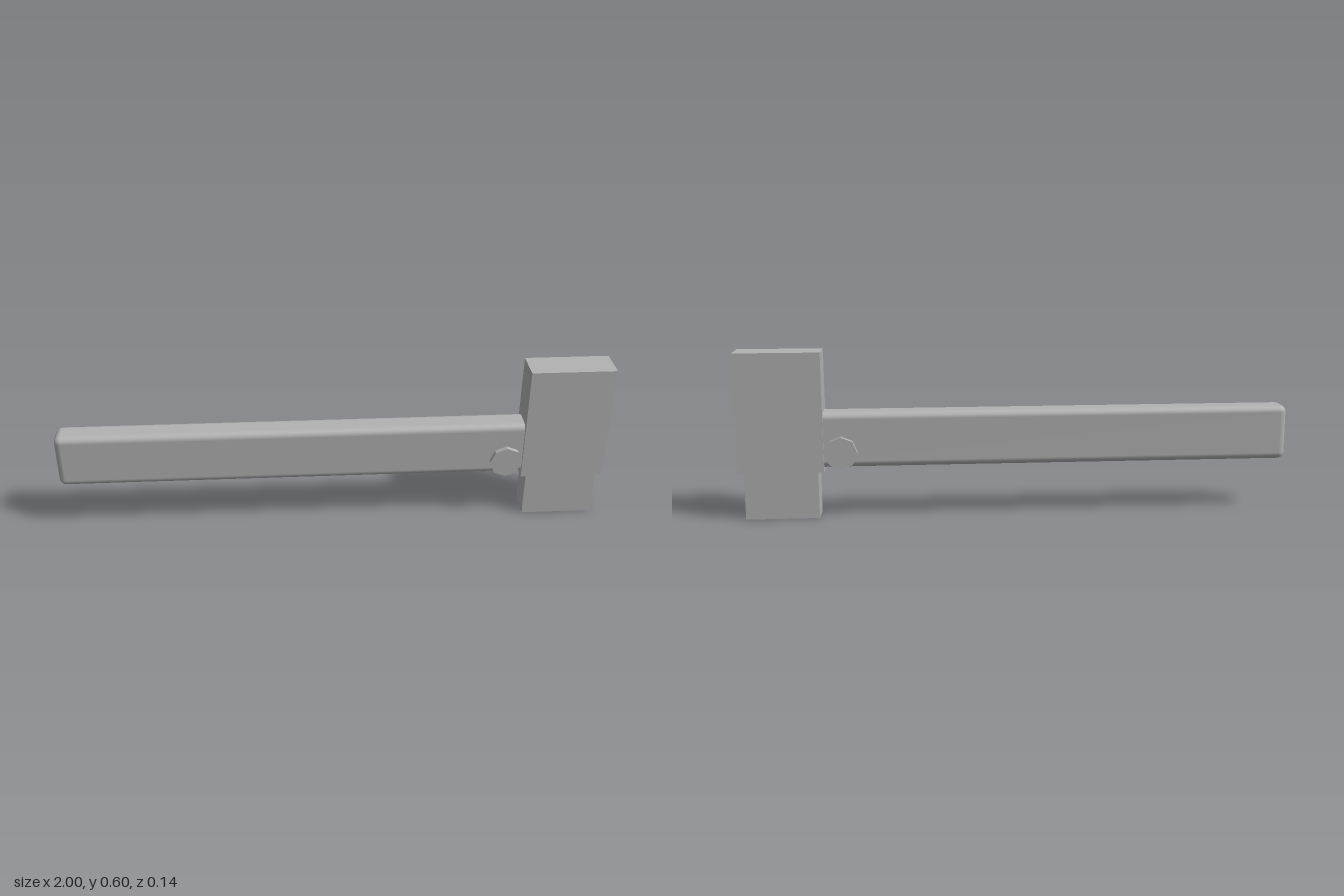
import * as THREE from 'three';
import { RoundedBoxGeometry } from 'three/addons/geometries/RoundedBoxGeometry.js';

export function createModel() {
  const group = new THREE.Group();
  const grey = new THREE.MeshStandardMaterial({ color: 0xb2b2b2 });
  grey.name = 'grey';

  const add = (name, geometry, x, y) => {
    const mesh = new THREE.Mesh(geometry, grey);
    mesh.name = name;
    mesh.position.set(x, y, 0);
    group.add(mesh);
  };
  // Box given by its x and y limits and its depth
  const block = (name, x0, x1, y0, y1, depth) =>
    add(name, new THREE.BoxGeometry(x1 - x0, y1 - y0, depth), (x0 + x1) / 2, (y0 + y1) / 2);

  // Long bar with softened edges, its end set into the head
  add('bar', new RoundedBoxGeometry(1.73, 0.202, 0.102, 2, 0.025), -0.135, 0.286);

  // Head block and the narrower stub below it
  block('head', 0.695, 1, 0.173, 0.604, 0.12);
  block('stub', 0.717, 0.98, 0, 0.173, 0.096);

  // Eight-sided pivot pin through the bar
  const pin = new THREE.CylinderGeometry(0.059, 0.059, 0.138, 8).toNonIndexed();
  pin.rotateX(Math.PI / 2);
  pin.computeVertexNormals();
  add('pivotPin', pin, 0.633, 0.242);

  return group;
}
